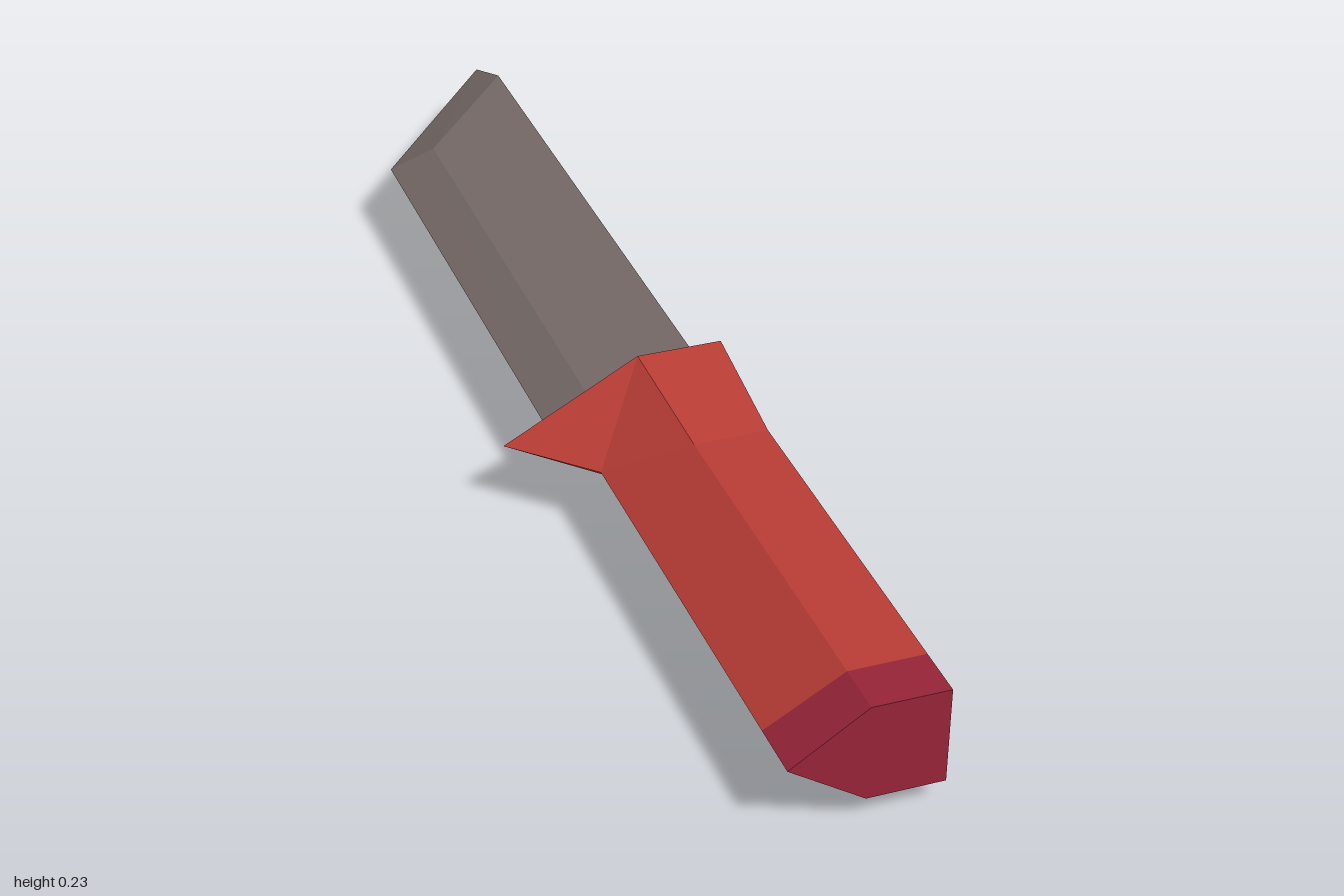
import * as THREE from 'three';

const mid = 0.115; // height of the symmetry plane

// Five-sided cross-section, counter-clockwise from the front:
// spine bottom, spine top, upper ridge, cutting edge, lower ridge.
function ring(spine, ridge, edge) {
  const [sx, sh, sz] = spine, [rx, rh, rz] = ridge, [ex, ez] = edge;
  return [
    [sx, mid - sh, sz], [sx, mid + sh, sz], [rx, mid + rh, rz],
    [ex, mid, ez], [rx, mid - rh, rz],
  ].map((p) => new THREE.Vector3(...p));
}

// Skin a run of rings, ordered front to back, with optional flat ends.
function skin(rings, capFront, capBack) {
  const pts = [];
  const tri = (a, b, c) => {
    const area = new THREE.Triangle(a, b, c).getArea();
    if (area > 1e-7) for (const p of [a, b, c]) pts.push(p.x, p.y, p.z);
  };
  for (let k = 0; k < rings.length - 1; k++) {
    for (let i = 0; i < 5; i++) {
      const j = (i + 1) % 5;
      const a = rings[k][i], b = rings[k][j], c = rings[k + 1][j], d = rings[k + 1][i];
      // diagonals mirror between upper and lower halves
      if (i < 3) { tri(a, d, b); tri(d, c, b); }
      else { tri(a, d, c); tri(a, c, b); }
    }
  }
  const first = rings[0], last = rings[rings.length - 1];
  for (let i = 1; i < 4; i++) {
    if (capFront) tri(first[0], first[i], first[i + 1]);
    if (capBack) tri(last[0], last[i + 1], last[i]);
  }
  const g = new THREE.BufferGeometry();
  g.setAttribute('position', new THREE.Float32BufferAttribute(pts, 3));
  g.computeVertexNormals();
  return g;
}

export function createModel() {
  const material = (name, color) => {
    const m = new THREE.MeshStandardMaterial({ color, flatShading: true });
    m.name = name;
    return m;
  };
  const red = material('red', 0xb83c35);
  const crimson = material('crimson', 0x962438);
  const steel = material('steel', 0x736765);

  const group = new THREE.Group();
  group.name = 'knife';
  const add = (name, geometry, mat) => {
    const mesh = new THREE.Mesh(geometry, mat);
    mesh.name = name;
    group.add(mesh);
  };

  // Handle sections
  const butt = ring([0.17, 0.075, 1], [0.056, 0.075, 1], [-0.057, 1]);
  const band = ring([0.17, 0.075, 0.92], [0.056, 0.075, 0.92], [-0.057, 0.912]);
  const neck = ring([0.17, 0.075, 0.36], [0.056, 0.075, 0.36], [-0.057, 0.28]);
  const flare = ring([0.17, 0.114, 0.168], [0.039, 0.114, 0.168], [-0.17, 0.168]);
  add('pommel', skin([butt, band], true, false), crimson);
  add('grip', skin([band, neck], false, false), red);
  add('guard', skin([neck, flare], false, true), red);

  // Blade, with its slanted bevelled tip
  const root = ring([0.166, 0.035, 0.168], [-0.025, 0.035, 0.168], [-0.094, 0.168]);
  const shoulder = ring([0.166, 0.035, -0.9], [-0.02, 0.035, -0.68], [-0.091, -0.695]);
  const point = new THREE.Vector3(0.157, mid, -1);
  const heel = shoulder[3];
  const tip = [point, point, heel, heel, heel];
  add('blade', skin([root, shoulder, tip], true, false), steel);

  return group;
}
